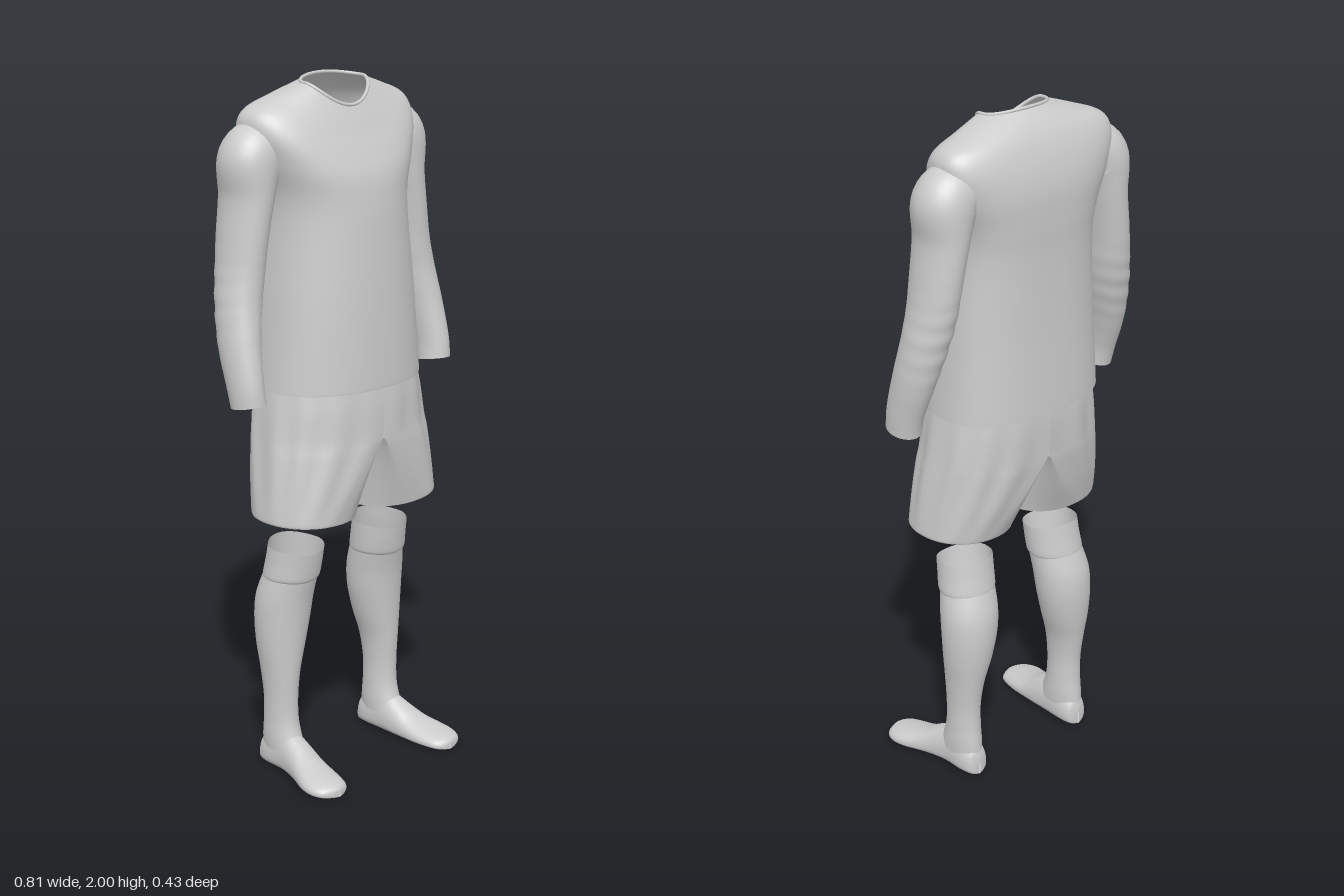
import * as THREE from 'three';

const material = new THREE.MeshStandardMaterial({ color: 0xcccccc, side: THREE.DoubleSide });
const COLS = 64;

// Smoothly resample a list of number rows (Catmull-Rom on every column)
function refine(rows, steps = 6) {
  const out = [], last = rows.length - 1;
  for (let i = 0; i < last; i++) {
    const [a, b, c, d] = [rows[Math.max(i - 1, 0)], rows[i], rows[i + 1], rows[Math.min(i + 2, last)]];
    for (let s = 0; s < steps; s++) {
      const t = s / steps;
      out.push(b.map((v, k) => v + 0.5 * t * (c[k] - a[k]
        + t * (2 * a[k] - 5 * v + 4 * c[k] - d[k] + t * (3 * (v - c[k]) + d[k] - a[k])))));
    }
  }
  out.push(rows[last]);
  return out;
}

// Skin closed loops of [x, y, z] points; side -1 mirrors, keep() can leave cells open
function skin(name, loops, side = 1, keep = () => true) {
  const n = loops[0].length, index = [];
  for (let i = 0; i < loops.length - 1; i++) {
    for (let j = 0; j < n; j++) {
      if (!keep(i, j)) continue;
      const k = (j + 1) % n;
      const a = i * n + j, b = i * n + k, c = a + n, d = b + n;
      if (side > 0) index.push(a, c, b, b, c, d);
      else index.push(a, b, c, b, d, c);
    }
  }
  const geometry = new THREE.BufferGeometry();
  const points = loops.flat().flatMap(([x, y, z]) => [x * side, y, z]);
  geometry.setAttribute('position', new THREE.Float32BufferAttribute(points, 3));
  geometry.setIndex(index);
  geometry.computeVertexNormals();
  const mesh = new THREE.Mesh(geometry, material);
  mesh.name = name;
  return mesh;
}

const power = (v, n) => Math.sign(v) * Math.abs(v) ** (2 / n);
const angles = Array.from({ length: COLS }, (_, j) => (j / COLS) * Math.PI * 2);

// Horizontal loop with its own height and depth at front and back
function bodyLoop([ySide, yFront, yBack, w, zFront, zBack, zMid, nFront, nBack, cx = 0]) {
  return angles.map((t) => {
    const c = Math.cos(t), s = Math.sin(t), front = s > 0;
    const n = front ? nFront : nBack;
    return [cx + w * power(c, n),
      ySide + ((front ? yFront : yBack) - ySide) * s * s,
      zMid + Math.abs(power(s, n)) * ((front ? zFront : zBack) - zMid)];
  });
}

// ySide, yFront, yBack, half width, zFront, zBack, zMid, front and back squareness
const SHIRT = [
  [1.155, 1.155, 1.155, 0.257, 0.156, -0.212, -0.04, 2.2, 2.6],
  [1.175, 1.175, 1.175, 0.256, 0.157, -0.212, -0.04, 2.2, 2.6],
  [1.40, 1.40, 1.40, 0.238, 0.149, -0.206, -0.05, 2.2, 2.6],
  [1.60, 1.59, 1.60, 0.221, 0.137, -0.206, -0.06, 2.2, 2.7],
  [1.70, 1.67, 1.70, 0.228, 0.129, -0.210, -0.07, 2.2, 2.8],
  [1.79, 1.74, 1.79, 0.262, 0.116, -0.210, -0.08, 2.2, 2.8],
  [1.87, 1.80, 1.86, 0.289, 0.090, -0.197, -0.085, 2.2, 2.7],
  [1.922, 1.85, 1.92, 0.272, 0.064, -0.174, -0.085, 2.2, 2.5],
  [1.955, 1.89, 1.962, 0.195, 0.045, -0.145, -0.07, 2.1, 2.2],
  [1.984, 1.922, 1.995, 0.108, 0.028, -0.110, -0.045, 2, 2],
];

// Sleeve: centre x, y, z, radius across, radius front to back
const SLEEVE = [
  [0.215, 1.825, -0.085, 0.080, 0.078],
  [0.270, 1.790, -0.085, 0.090, 0.088],
  [0.286, 1.690, -0.085, 0.066, 0.088],
  [0.304, 1.580, -0.084, 0.060, 0.084],
  [0.317, 1.490, -0.080, 0.060, 0.078],
  [0.334, 1.400, -0.068, 0.059, 0.071],
  [0.351, 1.300, -0.045, 0.053, 0.066],
  [0.359, 1.200, -0.016, 0.046, 0.059],
  [0.357, 1.138, -0.004, 0.045, 0.055],
];

function sleeve(side) {
  const rows = refine(SLEEVE, 8);
  const centre = (i) => new THREE.Vector3(...rows[THREE.MathUtils.clamp(i, 0, rows.length - 1)]);
  const loops = rows.map(([x, y, z, ra, rb], i) => {
    const along = centre(i + 1).sub(centre(i - 1)).normalize();
    const across = new THREE.Vector3(-along.y, along.x, 0).normalize();
    const depth = new THREE.Vector3().crossVectors(across, along);
    // soft creases around the elbow
    const crease = 0.025 * Math.exp(-(((y - 1.42) / 0.1) ** 2));
    return angles.map((t) => {
      const r = 1 + crease * Math.sin(y * 110 + 2 * Math.cos(t)) * (0.5 + 0.5 * Math.sin(t));
      return centre(i).addScaledVector(across, ra * r * Math.cos(t))
        .addScaledVector(depth, rb * r * Math.sin(t)).toArray();
    });
  });
  return skin('sleeve', loops.reverse(), side);
}

// Shorts: y, outer x, inner x, zFront, zBack, zMid, roundness of the leg opening
const SHORTS = [
  [0.785, 0.300, 0.015, 0.136, -0.142, -0.003, 1],
  [0.80, 0.301, 0.014, 0.139, -0.148, -0.004, 0.95],
  [0.88, 0.291, 0.009, 0.149, -0.174, -0.010, 0.6],
  [0.97, 0.278, 0.003, 0.156, -0.194, -0.020, 0.2],
  [1.02, 0.270, 0.000, 0.157, -0.200, -0.030, 0],
  [1.10, 0.258, 0.000, 0.155, -0.204, -0.035, 0],
  [1.16, 0.248, 0.000, 0.150, -0.203, -0.040, 0],
  [1.19, 0.243, 0.000, 0.146, -0.200, -0.040, 0],
];

function shortsLeg(side) {
  const arc = 40, inner = 24, rows = refine(SHORTS, 6);
  const loops = rows.map(([y, xo, xi, zf, zb, zm, round]) => {
    const loop = [];
    for (let j = 0; j < arc + inner; j++) {
      const outer = j <= arc;
      const t = outer ? (j / arc - 0.5) * Math.PI : (0.5 + (j - arc) / inner) * Math.PI;
      const c = Math.cos(t), s = Math.sin(t), n = s > 0 ? 2.3 : 2.6;
      const half = (s > 0 ? zf : zb) - zm;
      // half of the hips blending into a round leg opening
      const hipX = outer ? xo * power(Math.max(c, 0), n) : 0;
      const hipZ = zm + half * (outer ? Math.abs(power(s, n)) : Math.abs(s));
      const legX = (xo + xi) / 2 + ((xo - xi) / 2) * power(c, 2.2);
      const legZ = zm + half * Math.abs(power(s, 2.2));
      const fold = outer ? 0.004 * Math.sin(t * 14) * Math.sin(Math.PI * (y - 0.785) / 0.405) : 0;
      loop.push([Math.max(hipX + (legX - hipX) * round + fold * c, xi), y - 0.012 * round * (1 - legX / xo),
        hipZ + (legZ - hipZ) * round + fold * s]);
    }
    return loop;
  });
  // the inner walls stop at the crotch
  return skin('shortsLeg', loops, side, (i, j) => j < arc || rows[i + 1][0] < 1.01);
}

// Sock: y, centre x, half width, zFront, zBack
const SOCK = [
  [0.06, 0.200, 0.046, 0.030, -0.124],
  [0.10, 0.200, 0.047, 0.012, -0.121],
  [0.15, 0.200, 0.045, -0.002, -0.116],
  [0.22, 0.200, 0.045, -0.004, -0.116],
  [0.30, 0.198, 0.053, 0.000, -0.127],
  [0.38, 0.191, 0.070, 0.004, -0.141],
  [0.46, 0.184, 0.082, 0.010, -0.148],
  [0.53, 0.179, 0.085, 0.018, -0.143],
  [0.60, 0.170, 0.080, 0.031, -0.119],
];
const CUFF = [
  [0.59, 0.171, 0.081, 0.030, -0.122],
  [0.60, 0.170, 0.084, 0.036, -0.121],
  [0.64, 0.167, 0.083, 0.043, -0.113],
  [0.684, 0.165, 0.082, 0.050, -0.106],
];

function sockTube(name, rows, side) {
  return skin(name, refine(rows).map(([y, cx, w, zf, zb]) => {
    const tilt = 0.012 * THREE.MathUtils.smoothstep(y, 0.5, 0.68);
    return bodyLoop([y, y - tilt, y + tilt, w, zf, zb, (zf + zb) / 2, 2, 2, cx]);
  }), side);
}

// Foot from toe to heel: z, centre x, half width, top height
const FOOT = [
  [0.217, 0.226, 0.002, 0.018],
  [0.212, 0.228, 0.026, 0.026],
  [0.195, 0.231, 0.050, 0.035],
  [0.160, 0.231, 0.062, 0.044],
  [0.120, 0.225, 0.063, 0.054],
  [0.080, 0.216, 0.057, 0.069],
  [0.035, 0.207, 0.051, 0.094],
  [-0.02, 0.201, 0.046, 0.118],
  [-0.08, 0.200, 0.045, 0.110],
  [-0.115, 0.199, 0.036, 0.085],
  [-0.126, 0.199, 0.022, 0.060],
  [-0.130, 0.199, 0.002, 0.040],
];

function foot(side) {
  return skin('foot', refine(FOOT).map(([z, cx, w, top]) => angles.map((t) => {
    const s = Math.sin(t), mid = top * 0.35;
    return [cx + w * power(Math.cos(t), s > 0 ? 2 : 3),
      s > 0 ? mid + (top - mid) * s : mid + mid * power(s, 3), z];
  })), side);
}

export function createModel() {
  const model = new THREE.Group();
  model.name = 'sportsOutfit';

  const shirtLoops = refine(SHIRT, 7).map(bodyLoop);
  model.add(skin('shirtBody', shirtLoops));

  // Rolled edge around the neck opening
  const edge = shirtLoops.at(-1).map((p) => new THREE.Vector3(...p));
  const collar = new THREE.Mesh(
    new THREE.TubeGeometry(new THREE.CatmullRomCurve3(edge, true), 96, 0.005, 8, true), material);
  collar.name = 'collar';
  model.add(collar);

  for (const side of [1, -1]) {
    const limb = new THREE.Group();
    limb.name = side > 0 ? 'leftSide' : 'rightSide';
    limb.add(sleeve(side), shortsLeg(side), sockTube('sock', SOCK, side),
      sockTube('sockCuff', CUFF, side), foot(side));
    model.add(limb);
  }
  return model;
}
